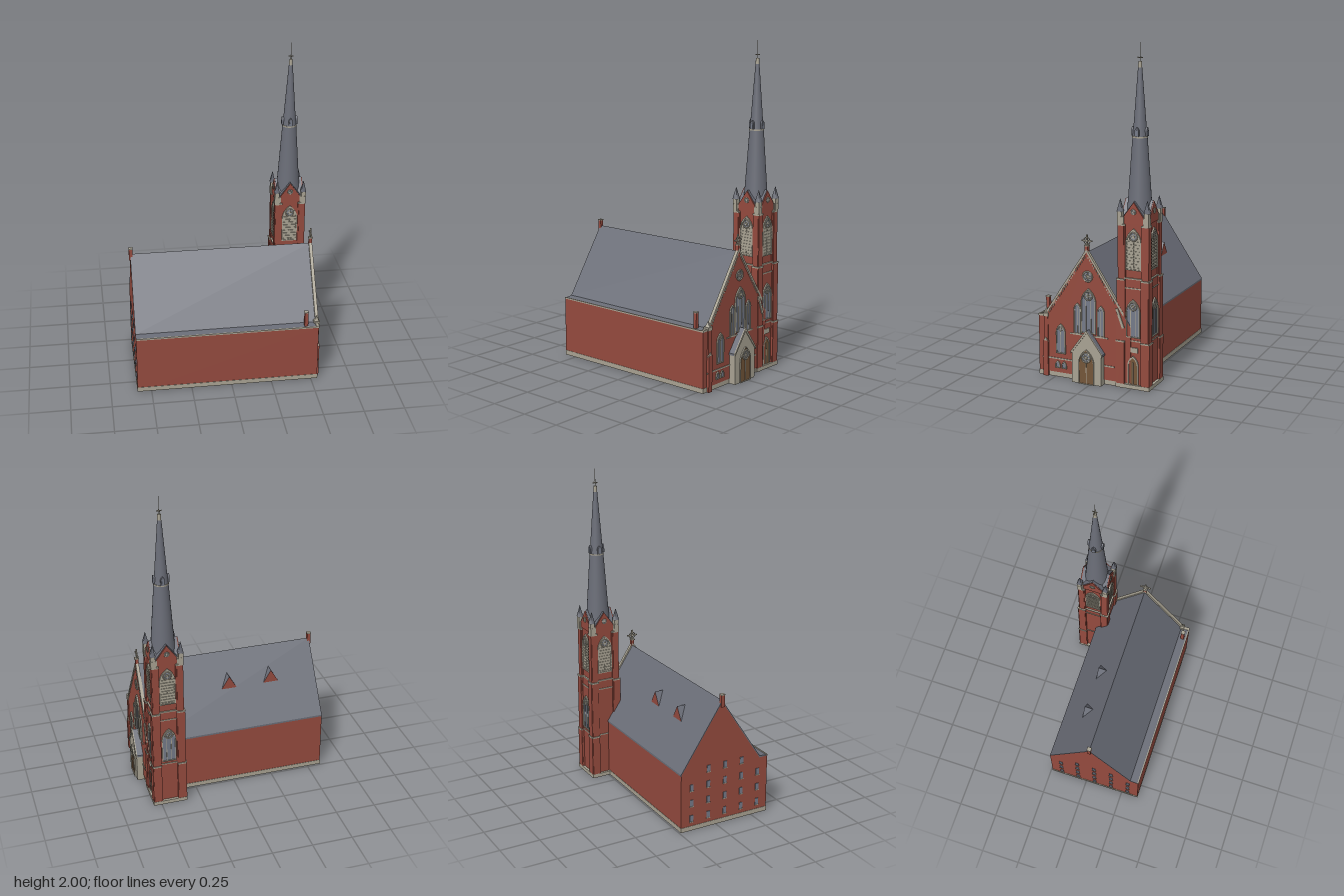
import * as THREE from 'three';

const mat = (name, color) => Object.assign(new THREE.MeshStandardMaterial({ color }), { name });
const brick = mat('brick', 0x944a3e), slate = mat('slate', 0x6a6d77), stone = mat('stone', 0xa8a292);
const glass = mat('glass', 0x747a88), wood = mat('wood', 0x735539);

function add(parent, name, geo, material, x = 0, y = 0, z = 0) {
  const m = new THREE.Mesh(geo, material);
  m.name = name;
  m.position.set(x, y, z);
  parent.add(m);
  return m;
}
// box given by its limits
function box(parent, name, material, x0, x1, y0, y1, z0, z1) {
  return add(parent, name, new THREE.BoxGeometry(x1 - x0, y1 - y0, z1 - z0), material,
    (x0 + x1) / 2, (y0 + y1) / 2, (z0 + z1) / 2);
}
const poly = pts => new THREE.Shape(pts.map(p => new THREE.Vector2(p[0], p[1])));
const extrude = (shape, depth) => new THREE.ExtrudeGeometry(shape, { depth, bevelEnabled: false, curveSegments: 8 });
// group whose local +z looks along the given angle
function facing(parent, name, x, z, angle) {
  const g = new THREE.Group();
  g.name = name;
  g.position.set(x, 0, z);
  g.rotation.y = angle;
  parent.add(g);
  return g;
}
// pointed arch outline
function lancet(w, h, inset = 0) {
  const a = w / 2 - inset, b = inset, s = h - w * 0.85, t = h - inset * 1.5;
  const p = new THREE.Shape();
  p.moveTo(-a, b);
  p.lineTo(a, b);
  p.lineTo(a, s);
  p.quadraticCurveTo(a * 0.92, s + (t - s) * 0.6, 0, t);
  p.quadraticCurveTo(-a * 0.92, s + (t - s) * 0.6, -a, s);
  return p;
}
// round tracery: ring, hub and spokes
function rose(parent, u, v, r, z, pane = glass) {
  const g = new THREE.Group();
  g.name = 'roseWindow';
  g.position.set(u, v, z);
  parent.add(g);
  add(g, 'rosePane', new THREE.CircleGeometry(r, 24), pane, 0, 0, 0.001);
  add(g, 'roseRing', new THREE.TorusGeometry(r * 0.88, r * 0.14, 6, 24), stone, 0, 0, 0.002);
  add(g, 'roseHub', new THREE.TorusGeometry(r * 0.28, r * 0.09, 5, 12), stone, 0, 0, 0.002);
  for (let i = 0; i < 4; i++) {
    const s = add(g, 'roseSpoke', new THREE.BoxGeometry(r * 1.7, r * 0.12, 0.003), stone, 0, 0, 0.002);
    s.rotation.z = i * Math.PI / 4;
  }
}
// framed pointed window or door
function arch(parent, name, u, v, w, h, z, pane = glass, mullions = 1, frame = 0.006) {
  const g = new THREE.Group();
  g.name = name;
  g.position.set(u, v, z);
  parent.add(g);
  const ring = lancet(w, h);
  ring.holes.push(lancet(w, h, frame));
  add(g, 'frame', extrude(ring, 0.008), stone);
  add(g, 'pane', extrude(lancet(w, h, frame * 0.8), 0.003), pane);
  for (let i = 1; i <= mullions; i++) {
    const x = -w / 2 + w * i / (mullions + 1);
    box(g, 'mullion', stone, x - 0.0018, x + 0.0018, 0, h - w * 0.6, 0, 0.006);
  }
}

export function createModel() {
  const model = new THREE.Group();
  model.name = 'church';
  const X0 = -0.585, X1 = 0.54, L = X1 - X0, side = Math.PI / 2;

  // nave body, roof and plinth; profiles use u = -z
  const nave = facing(model, 'nave', X0, 0, side);
  add(nave, 'naveWalls', extrude(poly([[-0.36, 0], [0.24, 0], [0.24, 0.37], [-0.035, 0.782], [-0.305, 0.37], [-0.36, 0.37]]), L), brick);
  add(nave, 'mainRoof', extrude(poly([[0.241, 0.366], [0.241, 0.377], [-0.035, 0.79], [-0.306, 0.379], [-0.306, 0.366], [-0.035, 0.778]]), L), slate);
  add(nave, 'aisleRoof', extrude(poly([[-0.356, 0.368], [-0.3, 0.368], [-0.3, 0.38], [-0.356, 0.373]]), L), slate);
  box(model, 'aisleEave', stone, X0, X1, 0.368, 0.377, 0.354, 0.362);
  box(model, 'plinth', stone, X0 - 0.002, X1 + 0.002, 0.001, 0.03, -0.242, 0.362);

  // chimneys
  for (const [x, z, y0, y1] of [[-0.582, 0.035, 0.75, 0.83], [0.465, 0.333, 0.37, 0.472]]) {
    box(model, 'chimney', brick, x - 0.011, x + 0.011, y0, y1 - 0.006, z - 0.011, z + 0.011);
    box(model, 'chimneyCap', stone, x - 0.013, x + 0.013, y1 - 0.006, y1, z - 0.013, z + 0.013);
  }

  // triangular dormers on the back slope
  for (const x of [-0.288, -0.015]) {
    const v = [[-0.05, 0.59, -0.097], [0.05, 0.59, -0.097], [0, 0.675, -0.097], [0, 0.675, -0.04]];
    const tri = (...k) => {
      const g = new THREE.BufferGeometry();
      g.setAttribute('position', new THREE.Float32BufferAttribute(k.flatMap(i => v[i]), 3));
      g.computeVertexNormals();
      return g;
    };
    add(model, 'dormerFace', tri(1, 0, 2), brick, x);
    add(model, 'dormerRoof', tri(0, 3, 2, 1, 2, 3), slate, x);
  }

  // small windows of the rear gable wall
  const rear = facing(model, 'rearWall', X0, 0, -side);
  for (let r = 0; r < 4; r++) for (let c = 0; c < 5; c++) {
    const z = 0.29 - c * 0.115;
    if (r === 3 && (c === 0 || c === 4)) continue;
    box(rear, 'rearWindow', glass, z - 0.011, z + 0.011, 0.06 + r * 0.1, 0.1 + r * 0.1, 0, 0.004);
    box(rear, 'rearSill', stone, z - 0.013, z + 0.013, 0.055 + r * 0.1, 0.06 + r * 0.1, 0, 0.006);
  }

  // entrance facade
  const front = facing(model, 'facade', X1, 0, side);
  add(front, 'gableCoping', extrude(poly([[0.2, 0.43], [0.2, 0.452], [-0.037, 0.81], [-0.31, 0.398], [-0.31, 0.376], [-0.037, 0.788]]), 0.02), stone, 0, 0, -0.013);
  add(front, 'gableWall', extrude(poly([[-0.31, 0.03], [0.15, 0.03], [0.15, 0.51], [-0.037, 0.79], [-0.31, 0.378]]), 0.005), brick);
  for (let i = 0; i < 26; i++) for (const s of [-1, 1]) {
    const d = 0.012 + i * 0.0098;
    if (s > 0 && d > 0.18) continue;
    const u = -0.037 + s * d, y = 0.782 - d * 1.51;
    box(front, 'dentil', stone, u - 0.0025, u + 0.0025, y - 0.011, y, 0.004, 0.009);
  }
  const F = 0.005;
  rose(front, -0.03, 0.645, 0.034, F);
  arch(front, 'centreWindow', -0.025, 0.3, 0.096, 0.275, F, glass, 2);
  rose(front, -0.025, 0.53, 0.03, F + 0.005);
  arch(front, 'sideWindow', -0.098, 0.288, 0.046, 0.19, F);
  arch(front, 'sideWindow', 0.055, 0.288, 0.046, 0.19, F);
  arch(front, 'aisleWindow', -0.21, 0.15, 0.062, 0.185, F);
  rose(front, -0.21, 0.305, 0.015, F + 0.004);
  for (const u of [-0.232, -0.19]) arch(front, 'lowWindow', u, 0.058, 0.032, 0.046, F, glass, 0, 0.005);
  box(front, 'upperBand', stone, -0.148, 0.1, 0.282, 0.289, F, F + 0.005);
  box(front, 'lowerBand', stone, -0.335, 0.14, 0.112, 0.12, F, F + 0.004);

  // facade corner buttress
  box(front, 'cornerButtress', brick, -0.325, -0.293, 0, 0.22, -0.01, 0.016);
  add(front, 'buttressSlope', extrude(poly([[-0.327, 0.215], [-0.291, 0.215], [-0.309, 0.24]]), 0.012), stone, 0, 0, 0.004);
  box(front, 'cornerPier', brick, -0.321, -0.295, 0.21, 0.385, -0.02, 0.01);
  box(front, 'pierCap', stone, -0.325, -0.291, 0.37, 0.39, -0.024, 0.013);
  add(front, 'pierTip', new THREE.ConeGeometry(0.02, 0.035, 4).rotateY(Math.PI / 4), stone, -0.308, 0.407, -0.005);
  box(front, 'aisleParapet', stone, -0.362, -0.325, 0.368, 0.38, -0.015, 0.004);
  // raking stone beside the tower
  const rake = box(front, 'rakingCap', stone, 0.17, 0.186, 0.36, 0.48, 0, 0.012);
  rake.rotation.z = 0.35;

  // gable cross
  box(front, 'crossBase', brick, -0.047, -0.027, 0.785, 0.825, -0.013, 0.007);
  box(front, 'crossBaseCap', stone, -0.05, -0.024, 0.825, 0.832, -0.016, 0.01);
  box(front, 'crossPost', stone, -0.041, -0.033, 0.83, 0.892, -0.007, 0.001);
  box(front, 'crossArm', stone, -0.071, -0.003, 0.852, 0.86, -0.007, 0.001);
  add(front, 'crossRing', new THREE.TorusGeometry(0.02, 0.003, 6, 20), stone, -0.037, 0.856, -0.003);

  // porch
  const porch = facing(front, 'porch', -0.022, 0, 0);
  add(porch, 'porchBody', extrude(poly([[-0.095, 0], [0.095, 0], [0.095, 0.185], [0, 0.318], [-0.095, 0.185]]), 0.046), stone);
  add(porch, 'porchRoof', extrude(poly([[0.1, 0.178], [0.1, 0.19], [0, 0.326], [-0.1, 0.19], [-0.1, 0.178], [0, 0.314]]), 0.044), slate);
  add(porch, 'porchCoping', extrude(poly([[0.101, 0.176], [0.101, 0.193], [0, 0.33], [-0.101, 0.193], [-0.101, 0.176], [0, 0.31]]), 0.008), stone, 0, 0, 0.043);
  arch(porch, 'porchDoor', 0, 0, 0.1, 0.215, 0.046, wood, 1, 0.004);
  rose(porch, 0, 0.165, 0.033, 0.051);

  // tower shaft
  const tower = facing(model, 'tower', 0.443, -0.256, 0);
  const C = 0.085;
  box(tower, 'shaft', brick, -C, C, 0, 1.0, -C, C);
  box(tower, 'lowerShaft', brick, -C - 0.006, C + 0.006, 0, 0.66, -C - 0.006, C + 0.006);
  for (let k = 0; k < 4; k++) {
    const f = facing(tower, 'towerSide', 0, 0, k * side);
    const low = C + 0.006;
    // paired corner buttresses stepping in with height
    for (const s of [-1, 1]) {
      for (const [y0, y1, w, r] of [[0, 0.285, 0.05, 0.106], [0.285, 0.655, 0.045, 0.103], [0.655, 0.975, 0.036, 0.097]]) {
        const c = s * (r - 0.004 - w / 2);
        box(f, 'buttress', brick, c - w / 2, c + w / 2, y0, y1, 0.05, r);
        box(f, 'buttressCap', stone, c - w / 2 - 0.002, c + w / 2 + 0.002, y1 - 0.007, y1 + 0.002, 0.05, r + 0.002);
      }
      box(f, 'buttressHead', stone, s * 0.081 - 0.013, s * 0.081 + 0.013, 0.97, 1.02, 0.06, 0.099);
    }
    box(f, 'baseBand', stone, -0.107, 0.107, 0.001, 0.025, 0.08, 0.107);
    for (const y of [0.286, 0.6, 0.657]) box(f, 'stringCourse', stone, -0.09, 0.09, y, y + 0.007, 0.08, low + 0.004);
    // belfry opening with slats
    arch(f, 'belfryOpening', 0, 0.71, 0.096, 0.245, C, stone, 1, 0.007);
    for (let i = 0; i < 9; i++) box(f, 'slat', stone, -0.042, 0.042, 0.722 + i * 0.019, 0.728 + i * 0.019, C, C + 0.007);
    rose(f, 0, 0.908, 0.028, C + 0.005);
    // gable
    add(f, 'gableFace', extrude(poly([[-0.088, 0.985], [0.088, 0.985], [0, 1.108]]), 0.008), brick, 0, 0, C - 0.003);
    rose(f, 0, 1.052, 0.017, C + 0.005);
    if (k < 2) add(f, 'crossRoof', extrude(poly([[-0.09, 0.99], [0.09, 0.99], [0, 1.112]]), 2 * C - 0.004), slate, 0, 0, -C + 0.002);
    // lower windows on the two outer sides
    if (k === 1 || k === 2) {
      arch(f, 'towerWindow', 0, 0.31, 0.088, 0.23, low, glass, 2);
      rose(f, 0, 0.498, 0.027, low + 0.004);
    }
    if (k === 1) {
      arch(f, 'towerDoor', 0, 0, 0.068, 0.2, low, wood, 1, 0.008);
      box(f, 'plaque', stone, -0.03, 0.03, 0.22, 0.25, low, low + 0.006);
    }
    // corner pinnacle
    const p = facing(f, 'pinnacle', 0.084, 0.084, 0);
    box(p, 'pinnacleBlock', stone, -0.014, 0.014, 0.97, 1.05, -0.014, 0.014);
    add(p, 'pinnacleTip', new THREE.ConeGeometry(0.023, 0.075, 4).rotateY(Math.PI / 4), slate, 0, 1.087, 0);
  }

  // spire
  const lathe = pts => new THREE.LatheGeometry(pts.map(p => new THREE.Vector2(p[0], p[1])), 24);
  add(tower, 'lowerSpire', lathe([[0.078, 1.0], [0.069, 1.1], [0.043, 1.47]]), slate);
  add(tower, 'spireBand', new THREE.CylinderGeometry(0.045, 0.045, 0.008, 24), stone, 0, 1.471, 0);
  add(tower, 'upperSpire', lathe([[0.043, 1.47], [0.037, 1.53], [0.012, 1.86]]), slate);
  for (let k = 0; k < 4; k++) {
    const d = facing(tower, 'spireDormer', 0, 0, k * side);
    add(d, 'dormerBody', extrude(lancet(0.026, 0.052), 0.02), slate, 0, 1.476, 0.028);
    add(d, 'dormerOpening', extrude(lancet(0.014, 0.034), 0.002), glass, 0, 1.48, 0.048);
  }
  // finial
  add(tower, 'finialCap', new THREE.CylinderGeometry(0.01, 0.012, 0.04, 12), stone, 0, 1.875, 0);
  add(tower, 'finialRod', new THREE.CylinderGeometry(0.0015, 0.002, 0.11, 6), stone, 0, 1.945, 0);
  box(tower, 'finialArm', stone, -0.015, 0.015, 1.912, 1.918, -0.002, 0.002);
  box(tower, 'finialArm', stone, -0.002, 0.002, 1.912, 1.918, -0.015, 0.015);
  return model;
}
